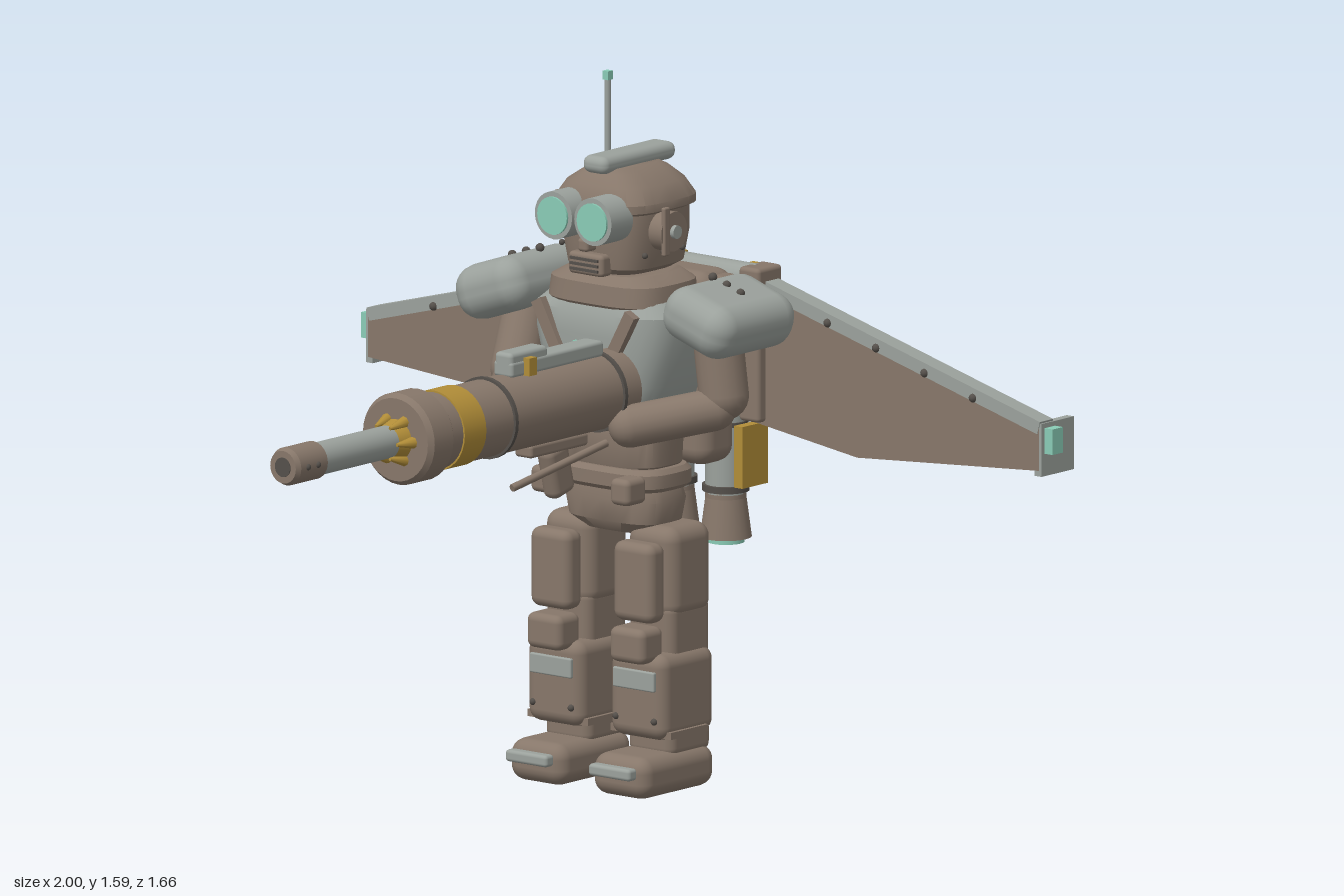
import * as THREE from 'three';
import { toCreasedNormals } from 'three/addons/utils/BufferGeometryUtils.js';
import { RoundedBoxGeometry } from 'three/addons/geometries/RoundedBoxGeometry.js';

const paint = (name, color) => {
  const m = new THREE.MeshStandardMaterial({ color });
  m.name = name;
  return m;
};

export function createModel() {
  const root = new THREE.Group();
  root.name = 'jetTrooper';
  const brown = paint('brown', 0x87776a), grey = paint('grey', 0x9ba19c), teal = paint('teal', 0x8accb6);
  const gold = paint('gold', 0xb18d38), dark = paint('dark', 0x55504b);

  const add = (name, geo, mat, x = 0, y = 0, z = 0) => {
    const m = new THREE.Mesh(geo, mat);
    m.name = name;
    m.position.set(x, y, z);
    root.add(m);
    return m;
  };
  const box = (name, mat, w, h, d, x, y, z, r = 0) => add(name,
    r ? new RoundedBoxGeometry(w, h, d, 3, r) : new THREE.BoxGeometry(w, h, d), mat, x, y, z);
  // cylinder between two points, r1 at the start and r2 at the end
  const rod = (name, mat, a, b, r1, r2 = r1, sides = 24) => {
    const p = new THREE.Vector3(...a), q = new THREE.Vector3(...b), d = q.clone().sub(p);
    const m = add(name, new THREE.CylinderGeometry(r2, r1, d.length(), sides), mat);
    m.position.copy(p).add(q).multiplyScalar(0.5);
    m.quaternion.setFromUnitVectors(new THREE.Vector3(0, 1, 0), d.normalize());
    return m;
  };
  const limb = (name, mat, a, b, r) => {
    const m = rod(name, mat, a, b, r);
    m.geometry = new THREE.CapsuleGeometry(r, m.geometry.parameters.height, 6, 18);
    return m;
  };
  const ball = (name, mat, r, x, y, z) => add(name, new THREE.SphereGeometry(r, 10, 8), mat, x, y, z);
  // stack of rounded-rectangle sections: [y, half width, half depth]
  const loft = (name, mat, zc, rows, n = 28) => {
    const pos = [], idx = [];
    const pow = (v) => Math.sign(v) * Math.abs(v) ** 0.6;
    for (const [y, hx, hz] of rows) for (let i = 0; i < n; i++) {
      const t = i / n * Math.PI * 2;
      pos.push(hx * pow(Math.cos(t)), y, hz * pow(Math.sin(t)));
    }
    for (let k = 0; k < rows.length - 1; k++) for (let i = 0; i < n; i++) {
      const a = k * n + i, b = k * n + (i + 1) % n;
      idx.push(a, a + n, b, b, a + n, b + n);
    }
    const last = (rows.length - 1) * n;
    for (let i = 1; i < n - 1; i++) idx.push(0, i, i + 1, last, last + i + 1, last + i);
    const g = new THREE.BufferGeometry();
    g.setAttribute('position', new THREE.Float32BufferAttribute(pos, 3));
    g.setIndex(idx);
    return add(name, toCreasedNormals(g, 0.6), mat, 0, 0, zc);
  };
  const plate = (name, mat, pts, z, depth) => add(name, new THREE.ExtrudeGeometry(
    new THREE.Shape(pts.map(([x, y]) => new THREE.Vector2(x, y))), { depth, bevelEnabled: false }), mat, 0, 0, z);

  // head
  loft('helmet', brown, -0.448, [[1.16, 0.075, 0.09], [1.18, 0.11, 0.115], [1.25, 0.122, 0.125], [1.305, 0.122, 0.125],
    [1.312, 0.135, 0.138], [1.33, 0.135, 0.138], [1.365, 0.112, 0.118], [1.39, 0.075, 0.095], [1.4, 0.05, 0.08]]);
  box('crest', grey, 0.07, 0.04, 0.255, 0, 1.41, -0.46, 0.018);
  box('mouthGuard', brown, 0.1, 0.05, 0.04, 0, 1.19, -0.325, 0.01);
  for (let i = 0; i < 3; i++) box('mouthSlot', dark, 0.08, 0.006, 0.008, 0, 1.178 + i * 0.012, -0.304);
  box('noseBridge', brown, 0.03, 0.03, 0.04, 0, 1.235, -0.315, 0.008);
  rod('antenna', grey, [-0.1, 1.34, -0.505], [-0.1, 1.57, -0.505], 0.007, 0.007, 10);
  box('antennaTip', teal, 0.016, 0.02, 0.016, -0.1, 1.575, -0.505);

  // neck and torso
  loft('collar', brown, -0.44, [[1.08, 0.14, 0.11], [1.1, 0.16, 0.125], [1.145, 0.155, 0.12], [1.165, 0.12, 0.1]]);
  loft('chest', grey, -0.44, [[0.83, 0.12, 0.1], [0.85, 0.14, 0.12], [0.92, 0.165, 0.13], [1.03, 0.195, 0.132],
    [1.08, 0.195, 0.13], [1.11, 0.16, 0.11]]);
  loft('waist', brown, -0.445, [[0.71, 0.11, 0.075], [0.73, 0.13, 0.085], [0.81, 0.135, 0.087], [0.85, 0.11, 0.075]]);
  loft('belt', brown, -0.445, [[0.675, 0.14, 0.09], [0.685, 0.15, 0.1], [0.715, 0.15, 0.1], [0.726, 0.14, 0.09]]);
  loft('hips', brown, -0.447, [[0.575, 0.09, 0.06], [0.6, 0.13, 0.08], [0.65, 0.14, 0.085], [0.68, 0.13, 0.08]]);
  box('chestLight', teal, 0.035, 0.02, 0.01, -0.012, 1.005, -0.304);
  for (const s of [-1, 1]) {
    const strap = box('chestStrap', brown, 0.03, 0.19, 0.02, s * 0.09, 1.01, -0.307);
    strap.rotation.z = s * -0.5;
  }

  // parts mirrored left and right
  for (const s of [-1, 1]) {
    const x = s * 0.057;
    rod('goggle', grey, [x, 1.3, -0.34], [x, 1.3, -0.265], 0.054);
    rod('goggleLens', teal, [x, 1.3, -0.266], [x, 1.3, -0.26], 0.043);
    rod('earDisc', brown, [s * 0.11, 1.265, -0.43], [s * 0.155, 1.265, -0.43], 0.045);
    rod('earCap', grey, [s * 0.15, 1.265, -0.43], [s * 0.165, 1.265, -0.43], 0.015);
    box('earBracket', brown, 0.012, 0.11, 0.02, s * 0.155, 1.27, -0.4, 0.004);
    for (let i = 0; i < 3; i++) ball('helmetRivet', dark, 0.007, s * 0.12, 1.215, -0.37 - i * 0.065);

    const pad = box('shoulderPad', grey, 0.2, 0.125, 0.285, s * 0.3, 1.09, -0.445, 0.055);
    pad.rotation.z = s * -0.33;
    for (let i = 0; i < 3; i++) ball('shoulderRivet', dark, 0.01, s * (0.25 + i * 0.04), 1.172 - i * 0.013, -0.45);

    // leg
    const lx = s * 0.12;
    box('thigh', brown, 0.14, 0.21, 0.15, lx, 0.495, -0.455, 0.035);
    box('thighPlate', brown, 0.115, 0.18, 0.06, lx, 0.48, -0.35, 0.022);
    box('kneeJoint', brown, 0.13, 0.16, 0.145, lx, 0.35, -0.455, 0.025);
    box('kneePad', brown, 0.1, 0.08, 0.08, lx, 0.34, -0.34, 0.018);
    box('shin', brown, 0.16, 0.195, 0.19, lx, 0.222, -0.43, 0.03);
    box('shinPlate', grey, 0.12, 0.045, 0.012, lx, 0.26, -0.334, 0.004);
    box('shinTrim', brown, 0.175, 0.016, 0.13, lx, 0.138, -0.42);
    for (const d of [-0.055, 0.055]) ball('shinRivet', dark, 0.008, lx + d, 0.17, -0.336);
    box('ankle', brown, 0.13, 0.08, 0.15, lx, 0.115, -0.455, 0.025);
    box('foot', brown, 0.16, 0.095, 0.26, lx, 0.0475, -0.4, 0.035);
    box('toeBar', grey, 0.12, 0.027, 0.03, lx, 0.062, -0.258, 0.008);
    box('beltPouch', brown, 0.055, 0.06, 0.07, s * 0.115, 0.69, -0.318, 0.014);

    // jet engine
    const jx = s * 0.075, jet = (name, mat, y1, y2, r1, r2) =>
      rod(name, mat, [jx, y1, -0.705], [jx, y2, -0.705], r1, r2);
    jet('jetBody', grey, 0.62, 0.88, 0.046);
    jet('jetRing', dark, 0.625, 0.64, 0.053);
    jet('jetUpperRing', dark, 0.775, 0.785, 0.05);
    jet('jetNozzleNeck', brown, 0.6, 0.625, 0.046);
    jet('jetNozzle', brown, 0.52, 0.61, 0.058, 0.046);
    jet('jetGlow', teal, 0.508, 0.522, 0.042);
    box('jetGuard', gold, 0.024, 0.14, 0.09, s * 0.148, 0.715, -0.705);

    // wing, with frame, ribs and tip
    const top = (v) => 1.12 - 0.272 * (v - 0.13);
    const bot = (v) => (v < 0.445 ? 0.79 - (v - 0.12) * 0.138 : 0.745 + (v - 0.445) * 0.075);
    const flip = (pts) => pts.map(([a, b]) => [s * a, b]);
    plate('wingPanel', brown, flip([[0.12, 1.12], [0.97, top(0.97)], [0.97, 0.785], [0.445, 0.745], [0.12, 0.79]]), -0.742, 0.025);
    const mid = (v, f) => bot(v) + (top(v) - bot(v)) * f;
    plate('wingBand', grey, flip([[0.17, mid(0.17, 0.78)], [0.95, mid(0.95, 0.78)], [0.95, mid(0.95, 0.4)], [0.445, mid(0.445, 0.45)],
      [0.17, mid(0.17, 0.5)]]), -0.748, 0.007);
    const edge = (name, mat, a, b, w) => {
      const m = box(name, mat, Math.hypot(b[0] - a[0], b[1] - a[1]), w, 0.046, s * (a[0] + b[0]) / 2, (a[1] + b[1]) / 2, -0.739);
      m.rotation.z = s * Math.atan2(b[1] - a[1], b[0] - a[0]);
    };
    edge('leadingEdge', grey, [0.12, 1.11], [0.97, 0.882], 0.03);
    for (const v of [0.28, 0.42, 0.56, 0.7, 0.84]) {
      box('wingRib', brown, 0.014, top(v) - bot(v) - 0.02, 0.02, s * v, (top(v) + bot(v)) / 2, -0.746);
      ball('wingRivet', dark, 0.01, s * (v - 0.06), top(v - 0.06) - 0.018, -0.717);
    }
    box('wingRoot', brown, 0.06, 0.35, 0.085, s * 0.15, 0.965, -0.735, 0.01);
    box('wingClamp', gold, 0.022, 0.06, 0.06, s * 0.105, 1.105, -0.747);
    box('wingTipPlate', grey, 0.02, 0.12, 0.112, s * 0.967, 0.832, -0.774);
    box('wingTipLight', teal, 0.026, 0.058, 0.036, s * 0.987, 0.852, -0.747);
    box('wingLight', teal, 0.02, 0.02, 0.03, s * 0.545, 0.93, -0.765);
  }

  // backpack
  box('backpack', brown, 0.25, 0.44, 0.125, 0, 0.92, -0.63, 0.04);
  box('backpackYoke', brown, 0.31, 0.12, 0.085, 0, 1.07, -0.645, 0.03);
  rod('wingSpar', grey, [-0.14, 1.105, -0.735], [0.14, 1.105, -0.735], 0.036);
  for (let i = 0; i < 5; i++) box('backLouver', grey, 0.17, 0.018, 0.03, 0, 0.92 + i * 0.032, -0.7);

  // arms
  limb('rightUpperArm', brown, [-0.27, 1.06, -0.44], [-0.255, 0.91, -0.37], 0.056);
  limb('rightForearm', brown, [-0.23, 0.89, -0.33], [-0.01, 0.875, -0.06], 0.047);
  box('rightHand', brown, 0.09, 0.07, 0.08, 0.04, 0.845, -0.07, 0.025);
  limb('leftUpperArm', brown, [0.27, 1.06, -0.44], [0.29, 0.91, -0.44], 0.056);
  limb('leftForearm', brown, [0.28, 0.88, -0.42], [0.16, 0.85, -0.27], 0.048);

  // launcher, along z
  const gx = 0.075, gy = 0.922;
  const tube = (name, mat, z1, z2, r1, r2) => rod(name, mat, [gx, gy, z1], [gx, gy, z2], r1, r2, 32);
  tube('launcherBody', brown, -0.31, 0.36, 0.087);
  tube('launcherBand', gold, 0.235, 0.31, 0.091);
  for (const z of [0.13, -0.25]) tube('launcherRing', dark, z - 0.005, z + 0.005, 0.093);
  tube('launcherCollar', brown, 0.365, 0.43, 0.104);
  tube('collarBackBevel', brown, 0.353, 0.365, 0.094, 0.104);
  tube('collarFrontBevel', brown, 0.43, 0.442, 0.104, 0.094);
  tube('nozzleSeat', gold, 0.44, 0.475, 0.048, 0.036);
  for (let i = 0; i < 6; i++) {
    const a = i * Math.PI / 3;
    const p = (r, z) => [gx + r * Math.cos(a), gy + r * Math.sin(a), z];
    rod('nozzleFin', gold, p(0.05, 0.44), p(0.04, 0.485), 0.014, 0.004, 8);
  }
  tube('barrel', grey, 0.44, 0.735, 0.037);
  tube('muzzle', brown, 0.728, 0.82, 0.043);
  tube('muzzleLip', brown, 0.82, 0.832, 0.043, 0.037);
  tube('muzzleBore', dark, 0.831, 0.834, 0.022);
  for (const z of [0.76, 0.795]) for (const d of [-1, 1]) ball('muzzleVent', dark, 0.008, gx + d * 0.04, gy, z);
  box('sightRail', grey, 0.055, 0.036, 0.32, gx, 1.022, -0.09, 0.008);
  box('sightBlock', grey, 0.05, 0.045, 0.13, gx, 1.037, 0.005, 0.01);
  box('sightClamp', gold, 0.085, 0.04, 0.026, gx, 1.025, 0.015);
  box('gripMount', brown, 0.05, 0.03, 0.2, gx, 0.825, -0.1, 0.008);
  box('pistolGrip', brown, 0.045, 0.12, 0.075, gx, 0.765, -0.115, 0.018).rotation.x = 0.25;
  rod('triggerLever', brown, [0.09, 0.752, 0.055], [0.15, 0.822, -0.2], 0.009, 0.009, 8);

  return root;
}
